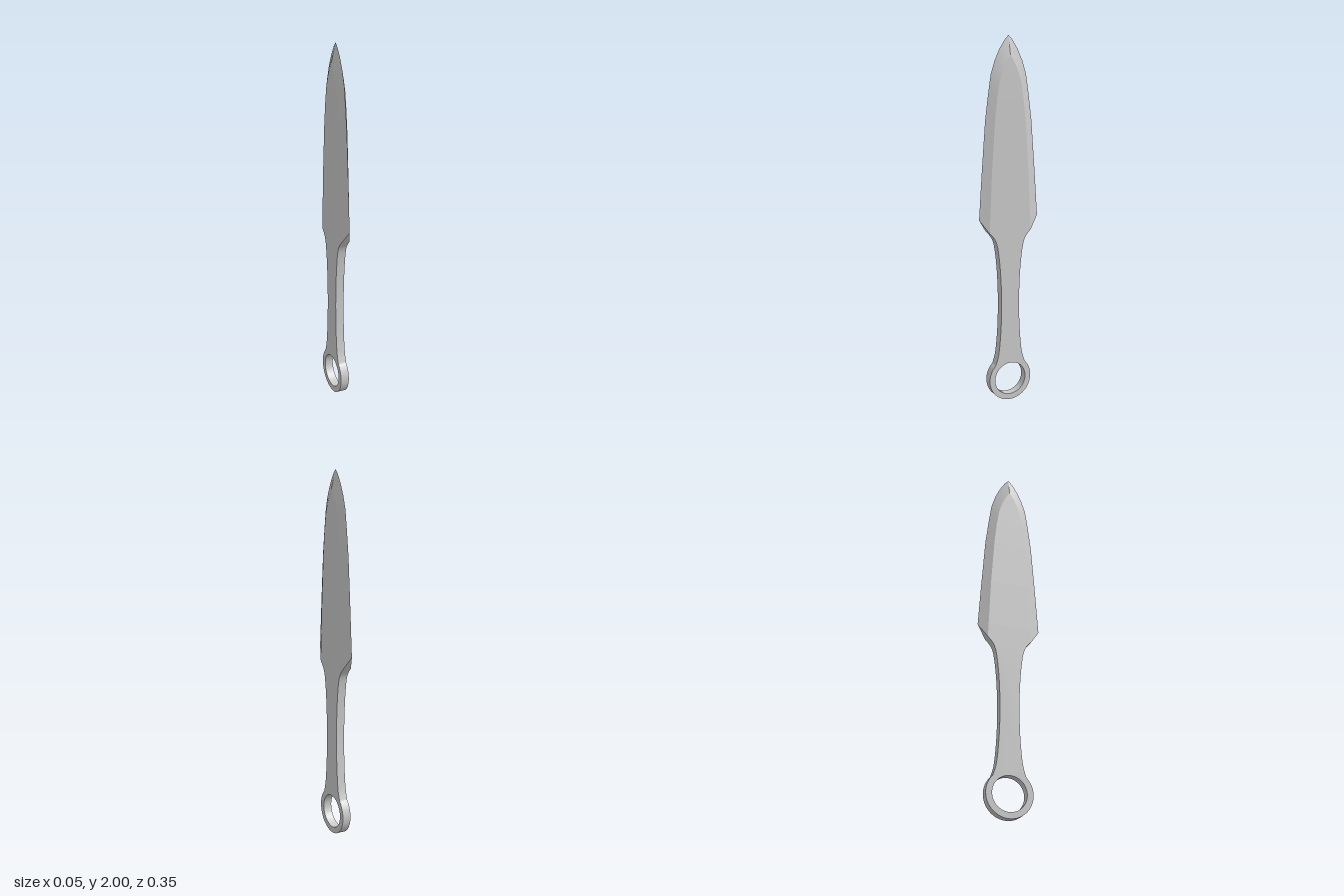
import * as THREE from 'three';
import { toCreasedNormals } from 'three/addons/utils/BufferGeometryUtils.js';

const T = 0.024; // half thickness
const material = new THREE.MeshStandardMaterial({ color: 0xcccccc });

// Flat grip ending in a finger ring, drawn in the z-y plane
function makeHandle() {
  const side = [[0.122, 0.967], [0.1, 0.943], [0.084, 0.915], [0.073, 0.87], [0.063, 0.79], [0.056, 0.69],
    [0.053, 0.58], [0.055, 0.46], [0.062, 0.35], [0.072, 0.27], [0.0884, 0.2154]]
    .map(([z, y]) => new THREE.Vector2(z, y));
  const right = new THREE.SplineCurve(side).getPoints(40);
  const left = right.map(p => new THREE.Vector2(-p.x, p.y)).reverse();
  const shape = new THREE.Shape();
  shape.setFromPoints(right);
  shape.absarc(0, 0.127, 0.125, Math.PI / 4, Math.PI * 3 / 4, true);
  left.slice(1).forEach(p => shape.lineTo(p.x, p.y));
  shape.closePath();
  const hole = new THREE.Path();
  hole.absarc(0, 0.127, 0.092, 0, Math.PI * 2, false);
  shape.holes.push(hole);
  const geo = new THREE.ExtrudeGeometry(shape, { depth: 2 * T, bevelEnabled: false, curveSegments: 48 });
  geo.translate(0, 0, -T);
  geo.rotateY(-Math.PI / 2);
  return toCreasedNormals(geo, 0.6);
}

// Double-edged blade: flat faces, bevels to a sharp edge, slanted shoulders
function makeBlade() {
  // [edge y, edge z, ridge y, ridge z]
  const stations = [
    [1.04, 0.173, 0.967, 0.122], [1.04, 0.173, 1.04, 0.119],
    [1.3, 0.155, 1.3, 0.107], [1.56, 0.135, 1.55, 0.09],
    [1.7, 0.117, 1.67, 0.077], [1.8, 0.102, 1.76, 0.063],
    [1.87, 0.08, 1.82, 0.044], [1.93, 0.052, 1.86, 0.025],
    [1.975, 0.023, 1.885, 0.01], [2, 0, 1.9, 0],
  ];
  const pos = [];
  // Adds a triangle wound so that it faces the given outward direction
  const tri = (a, b, c, out) => {
    const n = b.clone().sub(a).cross(c.clone().sub(a));
    if (n.lengthSq() < 1e-14) return;
    const order = n.dot(out) > 0 ? [a, b, c] : [a, c, b];
    order.forEach(p => pos.push(p.x, p.y, p.z));
  };
  const quad = (a, b, c, d, out) => { tri(a, b, c, out); tri(a, c, d, out); };
  const edge = (i, sz) => new THREE.Vector3(0, stations[i][0], sz * stations[i][1]);
  const ridge = (i, sx, sz) => new THREE.Vector3(sx * T, stations[i][2], sz * stations[i][3]);

  for (const sx of [-1, 1]) {
    const out = new THREE.Vector3(sx, 0, 0);
    for (let i = 0; i < stations.length - 1; i++) {
      quad(ridge(i, sx, -1), ridge(i, sx, 1), ridge(i + 1, sx, 1), ridge(i + 1, sx, -1), out);
      for (const sz of [-1, 1]) {
        quad(ridge(i, sx, sz), edge(i, sz), edge(i + 1, sz), ridge(i + 1, sx, sz), out);
      }
    }
  }
  // Shoulders under the bevels
  for (const sz of [-1, 1]) {
    tri(ridge(0, -1, sz), ridge(0, 1, sz), edge(0, sz), new THREE.Vector3(0, -1, 0));
  }
  const geo = new THREE.BufferGeometry();
  geo.setAttribute('position', new THREE.Float32BufferAttribute(pos, 3));
  return toCreasedNormals(geo, 0.25);
}

export function createModel() {
  const group = new THREE.Group();
  group.name = 'throwingKnife';
  for (const [name, geo] of [['handle', makeHandle()], ['blade', makeBlade()]]) {
    const mesh = new THREE.Mesh(geo, material);
    mesh.name = name;
    group.add(mesh);
  }
  return group;
}
